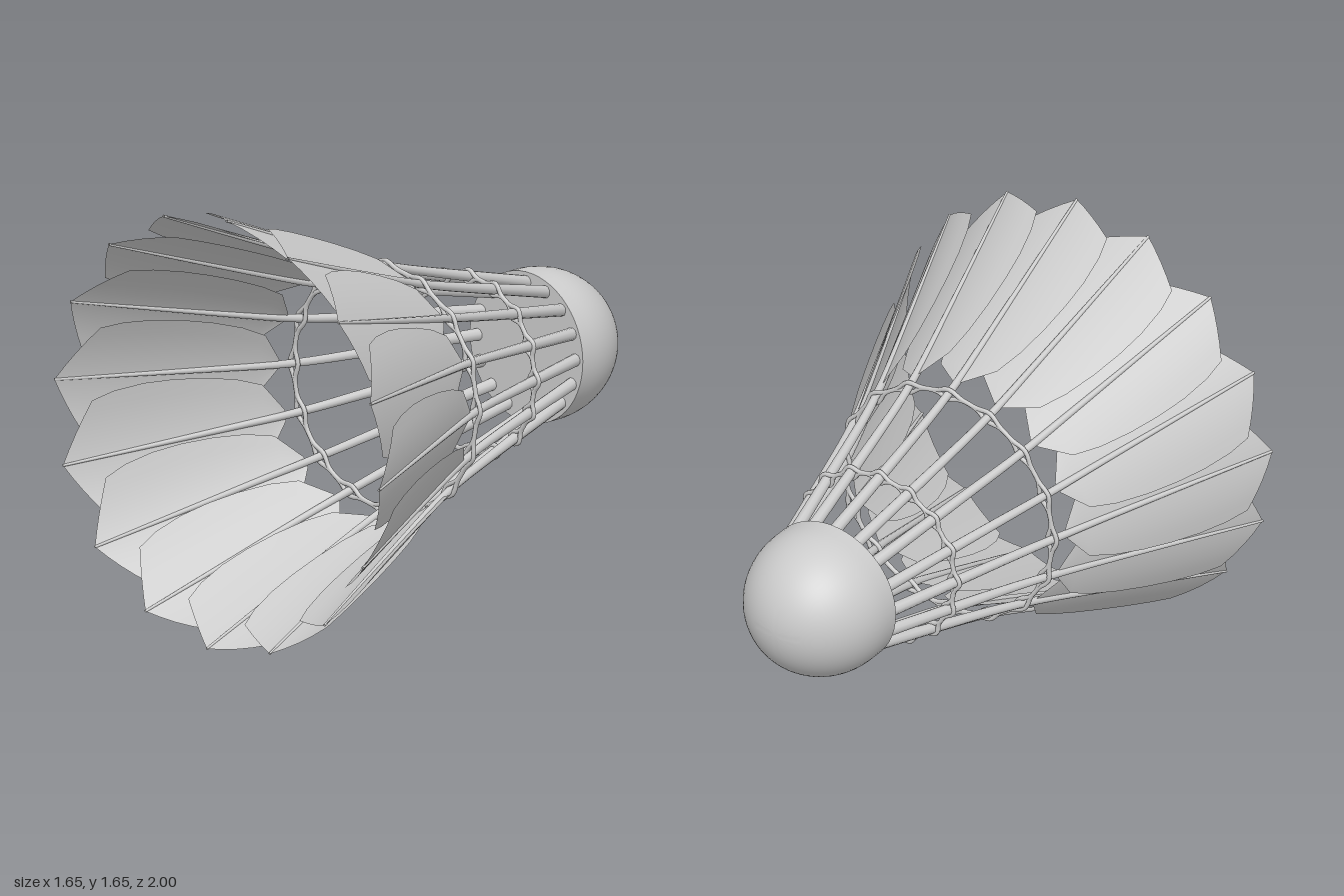
import * as THREE from 'three';
import { toCreasedNormals } from 'three/addons/utils/BufferGeometryUtils.js';

const FEATHERS = 16;
const AXIS_Y = 0.834; // height of the shuttle's axis, which runs along z
const solid = new THREE.MeshStandardMaterial({ color: 0xcccccc });
const thin = new THREE.MeshStandardMaterial({ color: 0xcccccc, side: THREE.DoubleSide });

// Centre line of the topmost quill: flares outwards and drifts sideways to the tip
function quillPoint(z) {
  const d = z - 0.11;
  const r = 0.462 + 0.345 * d + 0.07 * (Math.sqrt(d * d + 0.02) - 0.14);
  return new THREE.Vector3(0.056 * Math.max(0, d), r, z);
}

function mesh(name, geometry, material = solid) {
  const m = new THREE.Mesh(geometry, material);
  m.name = name;
  return m;
}

// Domed base with a short straight skirt and a flat front face
function corkGeometry() {
  const pts = [new THREE.Vector2(0, 0.635), new THREE.Vector2(0.286, 0.635)];
  for (let i = 0; i <= 20; i++) {
    const a = (i / 20) * Math.PI / 2;
    pts.push(new THREE.Vector2(i === 20 ? 0 : 0.286 * Math.cos(a), 0.69 + 0.31 * Math.sin(a)));
  }
  const g = new THREE.LatheGeometry(pts, 56).rotateX(-Math.PI / 2);
  return toCreasedNormals(g, 0.7);
}

// Quill: a tube narrowed towards the tip
function quillGeometry() {
  const rings = 24, sides = 10, r0 = 0.024, r1 = 0.005;
  const pts = [];
  for (let i = 0; i <= 12; i++) pts.push(quillPoint(-0.66 + 1.66 * i / 12));
  const path = new THREE.CatmullRomCurve3(pts);
  const g = new THREE.TubeGeometry(path, rings, r0, sides);
  const pos = g.attributes.position, v = new THREE.Vector3();
  for (let i = 0; i < pos.count; i++) {
    const t = Math.floor(i / (sides + 1)) / rings;
    const c = path.getPointAt(t);
    v.fromBufferAttribute(pos, i).sub(c).multiplyScalar(THREE.MathUtils.lerp(1, r1 / r0, t)).add(c);
    pos.setXYZ(i, v.x, v.y, v.z);
  }
  return g;
}

// Vane: cross-sections of [z at quill, z at edge, half width], tilted to overlap its neighbour
function vaneGeometry() {
  const rows = [
    [0.17, 0.17, 0.02], [0.25, 0.25, 0.125], [0.35, 0.35, 0.165], [0.48, 0.47, 0.195],
    [0.62, 0.59, 0.215], [0.76, 0.70, 0.225], [0.9, 0.81, 0.222], [1.0, 0.89, 0.205],
  ];
  const cols = 8, pos = [], idx = [];
  rows.forEach(([zc, ze, w], j) => {
    for (let i = 0; i <= cols; i++) {
      const s = (i / cols) * 2 - 1, u = s * w;
      const p = quillPoint(THREE.MathUtils.lerp(zc, ze, Math.abs(s)));
      pos.push(p.x + u, p.y - 0.23 * u - 0.84 * u * u, p.z);
      if (j && i) {
        const d = j * (cols + 1) + i, b = d - cols - 1;
        idx.push(b - 1, d - 1, d, b - 1, d, b);
      }
    }
  });
  const g = new THREE.BufferGeometry();
  g.setAttribute('position', new THREE.Float32BufferAttribute(pos, 3));
  g.setIndex(idx);
  g.computeVertexNormals();
  return g;
}

// Thread that swings to one side of every quill
function threadGeometry(z, swing) {
  const r0 = quillPoint(z).y, n = FEATHERS * 8, pts = [];
  for (let i = 0; i < n; i++) {
    const a = (i / n) * Math.PI * 2;
    const r = r0 + swing * ((1 + Math.cos(FEATHERS * a)) / 2) ** 2;
    pts.push(new THREE.Vector3(r * Math.sin(a), r * Math.cos(a), z));
  }
  return new THREE.TubeGeometry(new THREE.CatmullRomCurve3(pts, true), n * 2, 0.009, 6, true);
}

export function createModel() {
  const model = new THREE.Group();
  model.name = 'shuttlecock';
  const body = new THREE.Group();
  body.name = 'body';
  body.position.y = AXIS_Y;
  model.add(body);

  body.add(mesh('corkBase', corkGeometry()));

  // Ring of overlapping feathers
  const quill = quillGeometry(), vane = vaneGeometry();
  for (let i = 0; i < FEATHERS; i++) {
    const feather = new THREE.Group();
    feather.name = 'feather';
    feather.add(mesh('quill', quill, thin), mesh('vane', vane, thin));
    feather.rotation.z = (i / FEATHERS) * Math.PI * 2;
    body.add(feather);
  }

  // Two binding rings, each with a strand inside and outside the quills
  for (const [z, swing] of [[-0.33, 0.024], [0.11, 0.02]]) {
    body.add(mesh('innerThread', threadGeometry(z, -swing)));
    body.add(mesh('outerThread', threadGeometry(z, swing)));
  }
  return model;
}
